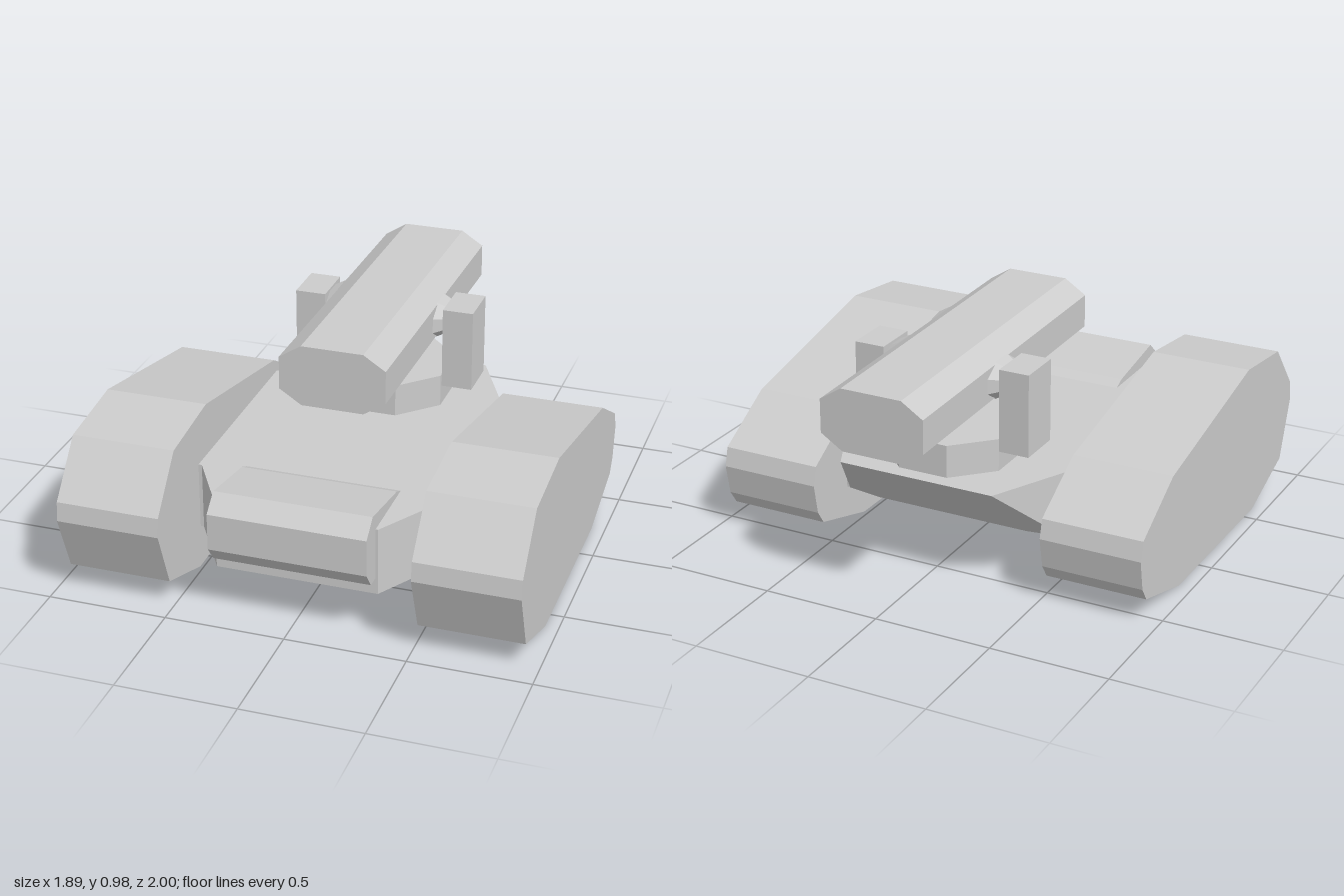
import * as THREE from 'three';
import { ConvexGeometry } from 'three/addons/geometries/ConvexGeometry.js';

const material = new THREE.MeshStandardMaterial({ color: 0xcccccc, flatShading: true });

// Extrude an outline to the given depth, centred on its extrusion axis
function prism(outline, depth) {
  const shape = new THREE.Shape(outline.map(([a, b]) => new THREE.Vector2(a, b)));
  const geometry = new THREE.ExtrudeGeometry(shape, { depth, bevelEnabled: false });
  return geometry.translate(0, 0, -depth / 2);
}

// Outline given as (z, y), extruded across x
const sideProfile = (outline, width) => prism(outline, width).rotateY(-Math.PI / 2);

export function createModel() {
  const model = new THREE.Group();
  model.name = 'tank';
  const add = (name, geometry, x = 0, y = 0, z = 0) => {
    const mesh = new THREE.Mesh(geometry, material);
    mesh.name = name;
    mesh.position.set(x, y, z);
    model.add(mesh);
    return mesh;
  };

  // Hull: tapered at both ends, with an undercut tail
  const hullPoints = [];
  for (const s of [-1, 1]) {
    for (const [y, tail] of [[0.18, -0.37], [0.467, -0.675]]) {
      hullPoints.push(
        new THREE.Vector3(s * 0.34, y, tail),
        new THREE.Vector3(s * 0.5, y, -0.345),
        new THREE.Vector3(s * 0.5, y, 0.57),
        new THREE.Vector3(s * 0.335, y, 0.845),
      );
    }
  }
  add('hull', new ConvexGeometry(hullPoints));
  add('trackMount', new THREE.BoxGeometry(1.04, 0.285, 0.913), 0, 0.323, 0.1125);

  // Faceted nose block
  add('noseBlock', sideProfile([
    [0.5, 0.25], [0.9, 0.25], [0.955, 0.32], [0.955, 0.475],
    [0.88, 0.54], [0.575, 0.49], [0.52, 0.465],
  ], 0.65));

  // Track pods
  const trackOutline = [
    [0.59, 0], [0.905, 0.11], [1, 0.36], [0.99, 0.44], [0.81, 0.65], [0.47, 0.69],
    [-0.31, 0.53], [-0.585, 0.37], [-0.605, 0.29], [-0.58, 0.16], [-0.54, 0.1], [-0.21, 0.005],
  ];
  const track = sideProfile(trackOutline, 0.43);

  // Turret ring
  const ring = new THREE.CylinderGeometry(0.281, 0.281, 0.14, 8).rotateY(Math.PI / 8);
  add('turretRing', ring, 0, 0.535, -0.35);

  // Tracks, gun supports and flared pivots on both sides
  for (const [side, s] of [['left', 1], ['right', -1]]) {
    add(side + 'Track', track, s * 0.73);
    add(side + 'GunSupport', new THREE.BoxGeometry(0.13, 0.35, 0.195), s * 0.324, 0.725, -0.358);
    const pivot = new THREE.CylinderGeometry(0.098, 0.135, 0.045, 8)
      .rotateY(Math.PI / 8)
      .rotateZ(-s * Math.PI / 2)
      .scale(1, 0.62, 1);
    add(side + 'GunPivot', pivot, s * 0.2425, 0.83, -0.36);
  }

  // Eight-sided gun, leaning slightly down towards the back
  const gun = prism([
    [-0.13, 0.703], [0.13, 0.703], [0.223, 0.763], [0.223, 0.903],
    [0.13, 0.963], [-0.13, 0.963], [-0.223, 0.903], [-0.223, 0.763],
  ], 1.405);
  gun.applyMatrix4(new THREE.Matrix4().makeShear(0, 0, 0, 0, 0, 0.018));
  const position = gun.attributes.position;
  if (Math.abs(position.getY(0) - 0.703) < 1e-6) {
    for (let i = 0; i < position.count; i++) {
      position.setY(i, position.getY(i) + 0.018 * position.getZ(i));
    }
  }
  gun.computeVertexNormals();
  add('gun', gun, 0, 0, -0.2975);

  return model;
}
